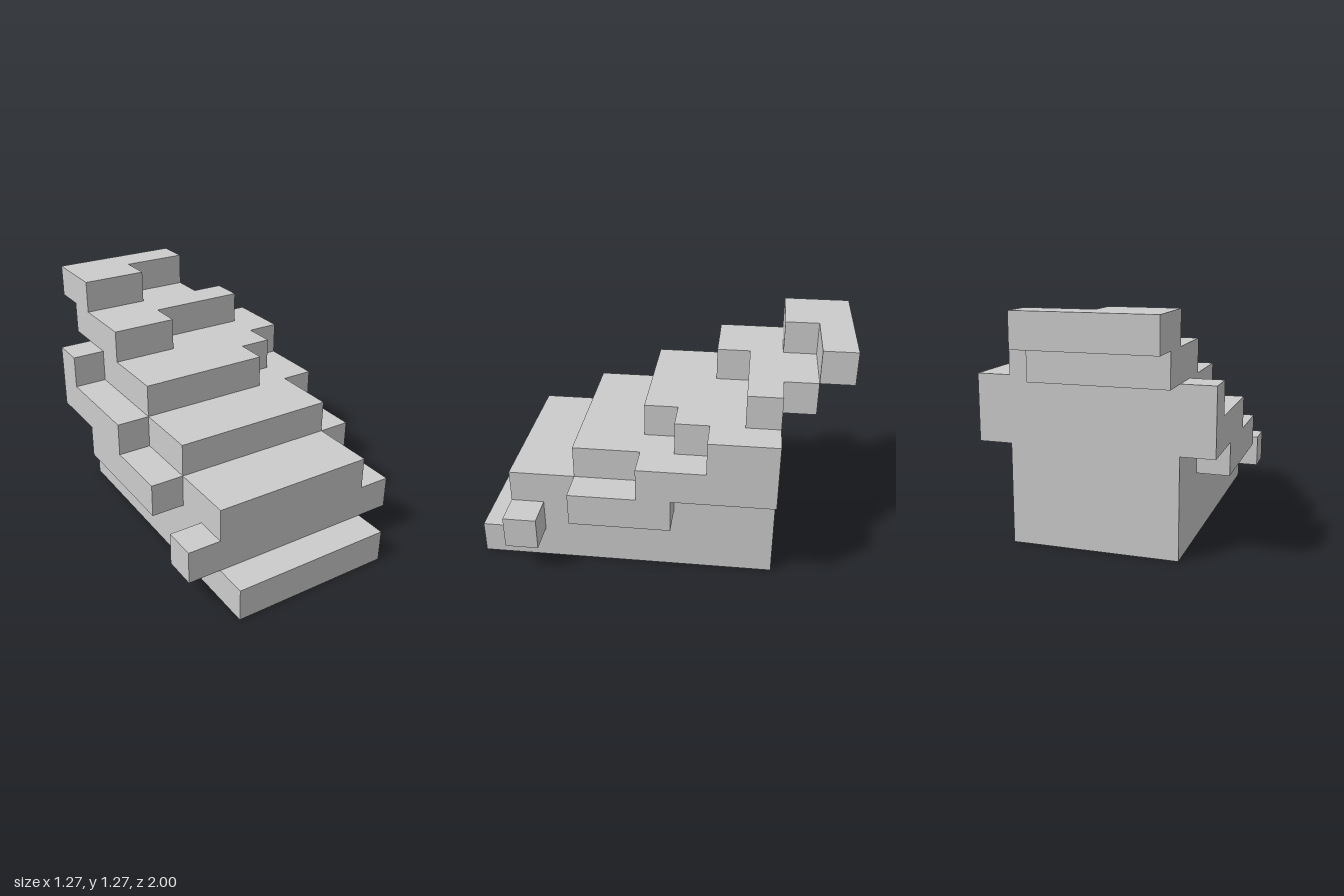
import * as THREE from 'three';

// One block of the stepped grid: 7 columns (x), 7 layers (y), 11 rows (z)
const U = 2 / 11;

// Outline of each layer, bottom to top, as [column, row] corners; row 0 is the back
const layers = [
  ['baseStep', [[1, 2], [6, 2], [6, 11], [1, 11]]],
  ['lowerStepWithSideBlocks', [[1, 2], [6, 2], [6, 9], [7, 9], [7, 10], [0, 10], [0, 9], [1, 9]]],
  ['secondStep', [[1, 2], [6, 2], [6, 5], [7, 5], [7, 8], [6, 8], [6, 10], [1, 10], [1, 8], [0, 8], [0, 4], [1, 4]]],
  ['thirdStep', [[0, 2], [7, 2], [7, 6], [6, 6], [6, 8], [1, 8], [1, 6], [0, 6]]],
  ['fourthStep', [[0, 2], [7, 2], [7, 4], [6, 4], [6, 5], [5, 5], [5, 6], [1, 6], [1, 3], [0, 3]]],
  ['overhangStep', [[1, 1], [5, 1], [5, 2], [6, 2], [6, 3], [3, 3], [3, 4], [1, 4]]],
  ['topOverhang', [[1, 0], [5, 0], [5, 1], [3, 1], [3, 2], [1, 2]]],
];

export function createModel() {
  const group = new THREE.Group();
  group.name = 'blockStaircase';
  const material = new THREE.MeshStandardMaterial({ color: 0xcccccc, flatShading: true });

  // Each layer is its outline extruded one block upward
  layers.forEach(([name, outline], level) => {
    const shape = new THREE.Shape(
      outline.map(([c, r]) => new THREE.Vector2((c - 3.5) * U, (5.5 - r) * U))
    );
    const geometry = new THREE.ExtrudeGeometry(shape, { depth: U, bevelEnabled: false });
    geometry.rotateX(-Math.PI / 2);
    const mesh = new THREE.Mesh(geometry, material);
    mesh.name = name;
    mesh.position.y = level * U;
    group.add(mesh);
  });
  return group;
}
